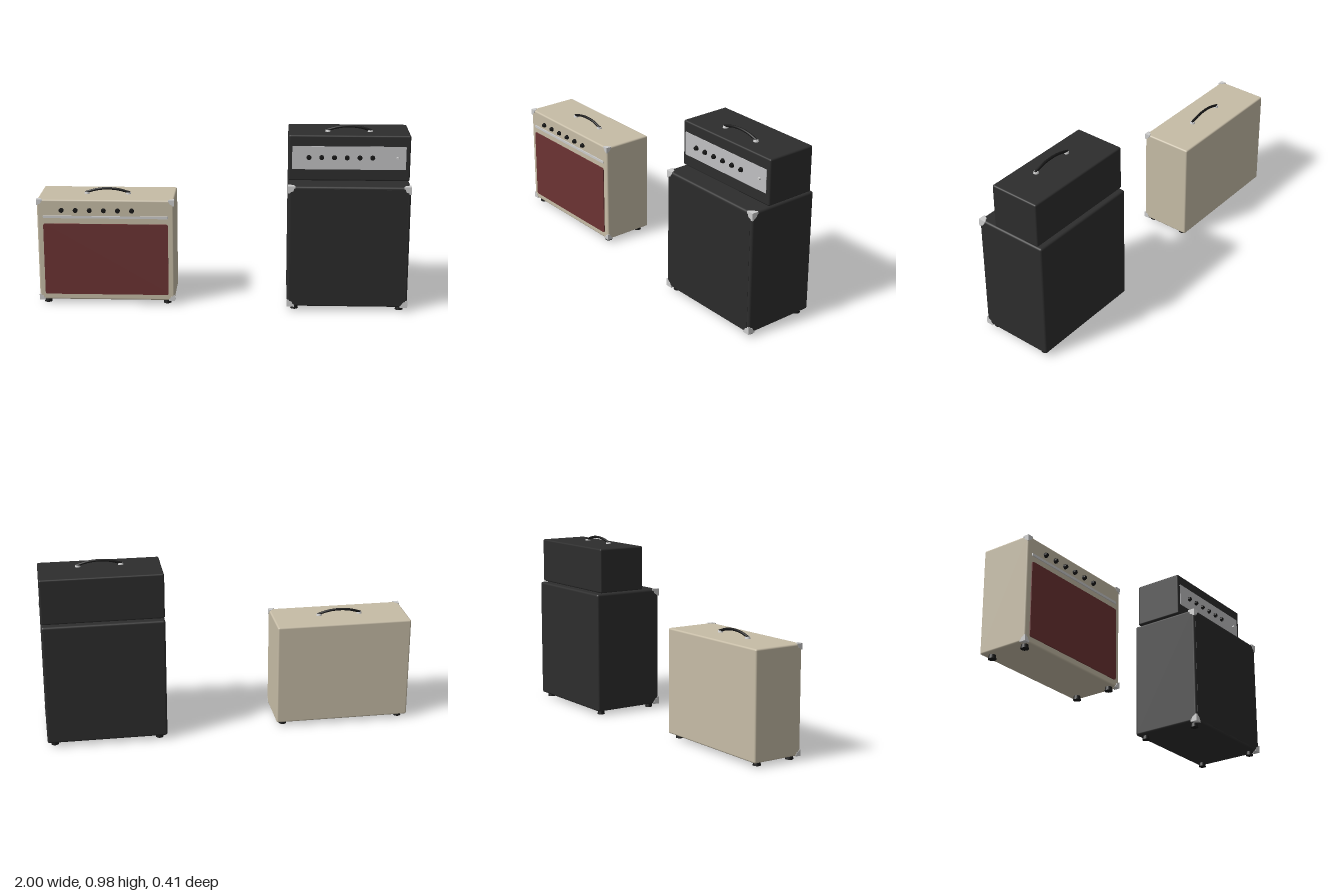
import * as THREE from 'three';
import { RoundedBoxGeometry } from 'three/addons/geometries/RoundedBoxGeometry.js';

const mat = (name, color, side = THREE.FrontSide) => {
  const m = new THREE.MeshStandardMaterial({ color, side });
  m.name = name;
  return m;
};

export function createModel() {
  const M = {
    black: mat('black vinyl', 0x2d2d2d),
    cream: mat('cream vinyl', 0xc6bca6),
    red: mat('oxblood grille cloth', 0x6b3333),
    cloth: mat('black grille cloth', 0x2a2a2a),
    panel: mat('silver panel', 0xc0c0c2),
    chrome: mat('chrome', 0xcccccc),
    rubber: mat('black plastic', 0x161616),
  };

  const add = (parent, name, geo, material, x = 0, y = 0, z = 0) => {
    const m = new THREE.Mesh(geo, material);
    m.name = name;
    m.position.set(x, y, z);
    parent.add(m);
    return m;
  };

  const group = (parent, name, x = 0, y = 0, z = 0) => {
    const g = new THREE.Group();
    g.name = name;
    g.position.set(x, y, z);
    parent.add(g);
    return g;
  };

  // Thin rounded rectangle facing +z
  const plate = (w, h, r, depth) => {
    const s = new THREE.Shape();
    const a = w / 2, b = h / 2;
    s.moveTo(-a + r, -b);
    s.lineTo(a - r, -b);
    s.quadraticCurveTo(a, -b, a, -b + r);
    s.lineTo(a, b - r);
    s.quadraticCurveTo(a, b, a - r, b);
    s.lineTo(-a + r, b);
    s.quadraticCurveTo(-a, b, -a, b - r);
    s.lineTo(-a, -b + r);
    s.quadraticCurveTo(-a, -b, -a + r, -b);
    return new THREE.ExtrudeGeometry(s, { depth, bevelEnabled: false, curveSegments: 5 });
  };

  // Scalloped corner leaf running from the origin towards (su, sv)
  const leaf = (size, su, sv) => {
    const s = new THREE.Shape();
    const p = (u, v) => [u * size * su, v * size * sv];
    s.moveTo(0, 0);
    s.lineTo(...p(1, 0));
    s.lineTo(...p(1, 0.28));
    s.quadraticCurveTo(...p(0.8, 0.3), ...p(0.78, 0.5));
    s.quadraticCurveTo(...p(0.72, 0.72), ...p(0.5, 0.78));
    s.quadraticCurveTo(...p(0.3, 0.8), ...p(0.28, 1));
    s.lineTo(...p(0, 1));
    s.closePath();
    return new THREE.ExtrudeGeometry(s, { depth: 0.003, bevelEnabled: false, curveSegments: 4 });
  };

  // Three leaves wrapped round each front corner of a box
  const frontCorners = (parent, x0, x1, y0, y1, z, size) => {
    for (const [x, sx] of [[x0, 1], [x1, -1]]) for (const [y, sy] of [[y0, 1], [y1, -1]]) {
      const g = group(parent, 'cornerGuard', x, y, z);
      add(g, 'cornerFront', leaf(size, sx, sy), M.chrome, 0, 0, -0.003);
      add(g, 'cornerSide', leaf(size, 1, sy).rotateY(Math.PI / 2), M.chrome, sx > 0 ? 0 : -0.003, 0, 0);
      add(g, 'cornerCap', leaf(size, sx, -1).rotateX(Math.PI / 2), M.chrome, 0, sy > 0 ? 0.003 : 0, 0);
    }
  };

  const feet = (parent, x0, x1, z) => {
    for (const x of [x0, x1]) for (const s of [-1, 1])
      add(parent, 'foot', new THREE.CylinderGeometry(0.016, 0.021, 0.026, 16).rotateX(Math.PI), M.rubber, x, 0.013, s * z)
        .rotation.x = Math.PI;
  };

  // Arched strap with chrome end caps
  const handle = (parent, x, y) => {
    const g = group(parent, 'handle', x, y, 0);
    const pts = [-0.122, -0.06, 0, 0.06, 0.122].map((u) =>
      new THREE.Vector3(u, 0.006 + 0.023 * (1 - (u / 0.122) ** 2), 0));
    add(g, 'handleStrap', new THREE.TubeGeometry(new THREE.CatmullRomCurve3(pts), 24, 0.007, 8), M.rubber);
    for (const s of [-1, 1])
      add(g, 'handleCap', new THREE.CylinderGeometry(0.012, 0.015, 0.01, 16), M.chrome, s * 0.113, 0.004, 0);
  };

  const knobs = (parent, x0, step, y, z) => {
    for (let i = 0; i < 6; i++) {
      const g = group(parent, 'knob', x0 + i * step, y, z);
      add(g, 'knobSkirt', new THREE.CylinderGeometry(0.013, 0.013, 0.008, 16).rotateX(Math.PI / 2), M.rubber, 0, 0, 0.003);
      add(g, 'knobCap', new THREE.CylinderGeometry(0.009, 0.011, 0.01, 16).rotateX(Math.PI / 2), M.rubber, 0, 0, 0.011);
    }
  };

  const root = new THREE.Group();
  root.name = 'amplifiers';

  // Cream combo amplifier
  const combo = group(root, 'comboAmplifier');
  add(combo, 'comboBody', new RoundedBoxGeometry(0.738, 0.566, 0.286, 3, 0.009), M.cream, -0.629, 0.305, -0.006);
  add(combo, 'comboGrille', plate(0.674, 0.4, 0.012, 0.006), M.red, -0.629, 0.255, 0.136);
  add(combo, 'comboTrim', new THREE.BoxGeometry(0.674, 0.013, 0.007), M.chrome, -0.629, 0.493, 0.139);
  knobs(combo, -0.866, 0.076, 0.53, 0.137);
  handle(combo, -0.629, 0.588);
  frontCorners(combo, -1, -0.258, 0.02, 0.59, 0.14, 0.032);
  feet(combo, -0.957, -0.301, 0.103);

  // Speaker cabinet
  const cabinet = group(root, 'speakerCabinet');
  add(cabinet, 'cabinetBody', new RoundedBoxGeometry(0.646, 0.67, 0.408, 3, 0.012), M.black, 0.675, 0.357, -0.001);
  add(cabinet, 'cabinetGrille', plate(0.615, 0.64, 0.02, 0.003), M.cloth, 0.675, 0.357, 0.201);
  frontCorners(cabinet, 0.35, 1, 0.02, 0.694, 0.206, 0.04);
  feet(cabinet, 0.392, 0.958, 0.163);

  // Amplifier head resting on low pads
  const head = group(root, 'amplifierHead');
  add(head, 'headBody', new RoundedBoxGeometry(0.646, 0.248, 0.281, 3, 0.009), M.black, 0.675, 0.821, -0.043);
  for (const x of [0.41, 0.94]) for (const z of [-0.14, 0.05])
    add(head, 'headPad', new THREE.CylinderGeometry(0.015, 0.015, 0.008, 12), M.rubber, x, 0.695, z);
  add(head, 'controlPanel', plate(0.604, 0.126, 0.004, 0.004), M.panel, 0.673, 0.823, 0.096);
  knobs(head, 0.46, 0.0675, 0.825, 0.098);
  add(head, 'powerSwitch', new THREE.CylinderGeometry(0.006, 0.008, 0.012, 10).rotateX(Math.PI / 2), M.chrome, 0.93, 0.825, 0.104);
  handle(head, 0.675, 0.945);

  return root;
}
